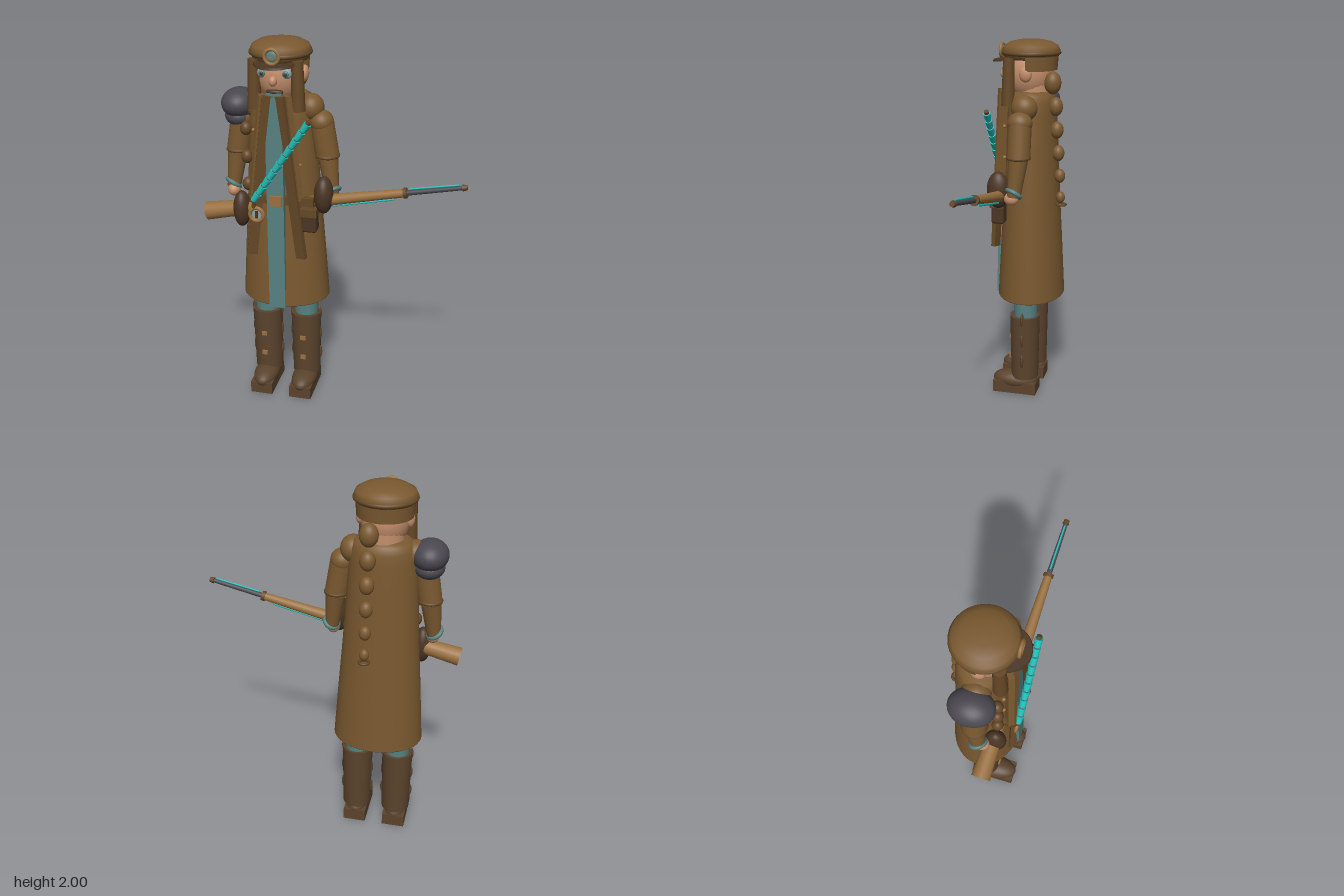
import * as THREE from 'three';
import { RoundedBoxGeometry } from 'three/addons/geometries/RoundedBoxGeometry.js';

const mat = (name, color) => Object.assign(new THREE.MeshStandardMaterial({ color }), { name });

export function createModel() {
  const M = {
    coat: mat('coat brown', 0x7a5930),
    trim: mat('dark brown trim', 0x644726),
    boot: mat('boot brown', 0x5a432c),
    leather: mat('dark leather', 0x4a3524),
    wood: mat('tan wood', 0x99703f),
    cloth: mat('muted teal cloth', 0x568080),
    glow: mat('bright turquoise', 0x22bdb8),
    steel: mat('dark steel', 0x4a484f),
    skin: mat('skin', 0xc48f6c),
    pale: mat('pale blue', 0x86a0a4),
  };
  const root = new THREE.Group();
  const figure = new THREE.Group();
  figure.name = 'figure';
  figure.position.x = -0.28;
  root.add(figure);

  const add = (name, geo, m, pos = [0, 0, 0], parent = figure) => {
    const mesh = new THREE.Mesh(geo, m);
    mesh.name = name;
    mesh.position.set(...pos);
    parent.add(mesh);
    return mesh;
  };
  const ball = (name, m, pos, r, parent) => {
    const mesh = add(name, new THREE.SphereGeometry(1, 28, 18), m, pos, parent);
    mesh.scale.set(...r);
    return mesh;
  };
  const box = (name, m, pos, size, parent) => add(name, new THREE.BoxGeometry(...size), m, pos, parent);
  const lathe = (name, m, points, pos, parent) =>
    add(name, new THREE.LatheGeometry(points.map(p => new THREE.Vector2(...p)), 40), m, pos, parent);
  // Tapered cylinder from point a to point b
  const rod = (name, m, a, b, ra, rb = ra, parent = figure, sides = 20) => {
    const A = new THREE.Vector3(...a), B = new THREE.Vector3(...b), d = B.clone().sub(A);
    const mesh = add(name, new THREE.CylinderGeometry(rb, ra, d.length(), sides), m,
      A.clone().add(B).multiplyScalar(0.5).toArray(), parent);
    mesh.quaternion.setFromUnitVectors(new THREE.Vector3(0, 1, 0), d.normalize());
    return mesh;
  };
  // Flat strip from a to b in the front plane
  const strip = (name, m, a, b, w, t) => {
    const d = [b[0] - a[0], b[1] - a[1], b[2] - a[2]];
    const pivot = new THREE.Group();
    pivot.name = name;
    pivot.position.set((a[0] + b[0]) / 2, (a[1] + b[1]) / 2, (a[2] + b[2]) / 2);
    pivot.quaternion.setFromUnitVectors(new THREE.Vector3(0, 1, 0), new THREE.Vector3(...d).normalize());
    figure.add(pivot);
    box(name, m, [0, 0, 0], [w, Math.hypot(...d), t], pivot);
  };

  // Long coat
  const coat = lathe('coat', M.coat, [[0, 0.58], [0.237, 0.58], [0.24, 0.585], [0.22, 0.88], [0.2, 1.15],
    [0.182, 1.45], [0.172, 1.62], [0.165, 1.68], [0.15, 1.715], [0.12, 1.732], [0, 1.735]], [0, 0, -0.008]);
  coat.scale.z = 0.77;
  strip('frontPanel', M.cloth, [0, 0.575, 0.165], [0, 1.735, 0.137], 0.09, 0.04);
  for (const s of [-1, 1]) {
    strip('lapel', M.trim, [s * 0.03, 1.74, 0.15], [s * 0.135, 0.88, 0.167], 0.055, 0.025);
    strip('collarBand', M.coat, [s * 0.055, 1.74, 0.125], [s * 0.115, 1.2, 0.145], 0.06, 0.03);
    for (const y of [1.38, 1.55]) ball('button', M.wood, [s * 0.12, y, 0.118], [0.01, 0.01, 0.01]);
  }
  // Belt with buckle and pouch
  box('belt', M.trim, [0.03, 1.195, 0.145], [0.34, 0.045, 0.04]);
  box('buckle', M.wood, [0.005, 1.195, 0.178], [0.065, 0.055, 0.012]);
  add('pouch', new RoundedBoxGeometry(0.08, 0.12, 0.07, 3, 0.012), M.leather, [0.175, 1.09, 0.135]);
  box('pouchFlap', M.trim, [0.175, 1.14, 0.14], [0.085, 0.04, 0.075]);
  for (const y of [1.55, 1.4, 1.25]) ball('sideCharge', M.trim, [-0.165, y, 0.1], [0.03, 0.036, 0.03]);

  // Head and face
  ball('head', M.skin, [0, 1.83, 0.012], [0.122, 0.155, 0.13]);
  rod('neck', M.skin, [0, 1.68, -0.01], [0, 1.8, -0.01], 0.1);
  ball('nose', M.skin, [0, 1.815, 0.147], [0.02, 0.026, 0.024]);
  ball('mouth', M.leather, [0, 1.757, 0.125], [0.045, 0.014, 0.02]);
  box('beard', M.cloth, [0, 1.742, 0.128], [0.08, 0.022, 0.03]);
  for (const s of [-1, 1]) {
    ball('eyeWhite', M.pale, [s * 0.06, 1.848, 0.118], [0.028, 0.026, 0.016]);
    ball('eyeIris', M.cloth, [s * 0.06, 1.848, 0.13], [0.017, 0.017, 0.01]);
    ball('eyePupil', M.leather, [s * 0.06, 1.848, 0.138], [0.009, 0.009, 0.006]);
    ball('brow', M.leather, [s * 0.055, 1.885, 0.118], [0.04, 0.012, 0.02]);
    ball('ear', M.skin, [s * 0.122, 1.828, 0.002], [0.022, 0.042, 0.034]);
    rod('earFlap', M.trim, [s * 0.11, 1.91, 0.095], [s * 0.113, 1.66, 0.1], 0.03, 0.036);
  }

  // Round cap with visor and badge
  lathe('capCrown', M.coat, [[0, 1.9], [0.14, 1.9], [0.15, 1.925], [0.155, 1.945], [0.145, 1.968],
    [0.11, 1.988], [0.06, 1.998], [0, 2.0]]);
  const rim = add('capRim', new THREE.TorusGeometry(0.148, 0.012, 10, 48), M.trim, [0, 1.932, 0]);
  rim.rotation.x = Math.PI / 2;
  const bandMat = M.coat.clone();
  bandMat.side = THREE.DoubleSide;
  add('capBackBand', new THREE.CylinderGeometry(0.147, 0.14, 0.085, 32, 1, true, Math.PI / 2, Math.PI),
    bandMat, [0, 1.885, 0]);
  const visor = add('visor', new THREE.CylinderGeometry(0.105, 0.11, 0.01, 32), M.leather, [0, 1.9, 0.1]);
  visor.rotation.x = 0.12;
  add('badgeRing', new THREE.TorusGeometry(0.036, 0.009, 10, 32), M.wood, [0, 1.938, 0.16]);
  ball('badgeCentre', M.cloth, [0, 1.938, 0.156], [0.03, 0.03, 0.01]);
  box('badgeBar', M.wood, [0, 1.932, 0.166], [0.036, 0.012, 0.008]);

  // Braid down the back, ending in a ring
  const braid = [[1.78, -0.13, 0.05], [1.655, -0.148, 0.042], [1.53, -0.156, 0.039],
    [1.405, -0.165, 0.036], [1.28, -0.175, 0.032], [1.16, -0.18, 0.027]];
  for (const [y, z, r] of braid) ball('braidBead', M.coat, [0.055, y, z], [r * 0.95, r * 1.2, r * 0.9]);
  const tie = add('braidTie', new THREE.TorusGeometry(0.024, 0.007, 8, 24), M.trim, [0.055, 1.12, -0.185]);
  tie.rotation.x = Math.PI / 2;

  // Arms, cuffs and gloves
  for (const s of [-1, 1]) {
    ball('shoulder', M.coat, [s * 0.155, 1.655, 0], [0.065, 0.07, 0.07]);
    ball('sleeveTop', M.coat, [s * 0.21, 1.585, 0.01], [0.062, 0.06, 0.066]);
    rod('upperSleeve', M.coat, [s * 0.21, 1.585, 0.01], [s * 0.24, 1.4, 0.01], 0.062, 0.062);
    const hem = add('sleeveHem', new THREE.TorusGeometry(0.057, 0.009, 8, 28), M.trim, [s * 0.239, 1.408, 0.01]);
    hem.rotation.x = Math.PI / 2;
    rod('forearm', M.coat, [s * 0.24, 1.43, 0.008], [s * 0.268, 1.2, 0.03], 0.055, 0.036);
    const cuff = add('cuff', new THREE.TorusGeometry(0.038, 0.012, 10, 28), M.cloth, [s * 0.27, 1.22, 0.03]);
    cuff.rotation.set(1.1, s * 0.5, 0);
    ball('wrist', M.skin, [s * 0.262, 1.19, 0.045], [0.034, 0.036, 0.04]);
  }
  ball('rightGlove', M.leather, [-0.205, 1.105, 0.1], [0.046, 0.1, 0.055]);
  ball('leftGlove', M.leather, [0.245, 1.23, 0.12], [0.05, 0.1, 0.062]);

  // Shoulder armour on the right side
  ball('pauldron', M.steel, [-0.228, 1.655, 0], [0.092, 0.078, 0.112]);
  ball('pauldronLower', M.steel, [-0.228, 1.59, 0], [0.076, 0.056, 0.09]);

  // Legs and boots
  for (const s of [-1, 1]) {
    const x = s * 0.112;
    rod('trouserLeg', M.cloth, [x, 0.4, 0], [x, 0.66, 0], 0.066, 0.066);
    rod('bootShaft', M.boot, [x, 0.095, 0.004], [x, 0.475, 0.004], 0.077, 0.084, figure, 32);
    box('bootSole', M.boot, [x, 0.034, 0.055], [0.124, 0.068, 0.25]);
    ball('bootToe', M.boot, [x, 0.07, 0.06], [0.07, 0.054, 0.13]);
    box('kneeTab', M.leather, [x, 0.565, 0.066], [0.05, 0.035, 0.012]);
    for (const y of [0.465, 0.34, 0.215]) {
      for (const t of [-1, 1]) ball('bootStud', M.boot, [x + t * 0.074, y, 0.004], [0.016, 0.042, 0.01]);
      if (y < 0.4) box('bootBuckle', M.wood, [x, y, 0.085], [0.03, 0.024, 0.016]);
    }
  }

  // Segmented baton across the chest with a ring charm
  const a = new THREE.Vector3(-0.11, 1.195, 0.19), b = new THREE.Vector3(0.187, 1.63, 0.197);
  const at = t => a.clone().lerp(b, t).toArray();
  rod('batonCore', M.trim, at(-0.02), at(1.02), 0.013);
  for (let i = 0; i < 10; i++) {
    rod('batonSegment', M.glow, at(i / 10), at((i + 0.9) / 10), 0.016, 0.02);
  }
  add('charmRing', new THREE.TorusGeometry(0.036, 0.01, 10, 32), M.wood, [-0.098, 1.115, 0.185]);
  const charm = rod('charmDisc', M.pale, [-0.098, 1.115, 0.17], [-0.098, 1.115, 0.185], 0.032);
  charm.name = 'charmDisc';
  box('charmMark', M.leather, [-0.098, 1.115, 0.187], [0.014, 0.04, 0.006]);
  rod('charmStem', M.trim, [-0.11, 1.15, 0.185], at(0), 0.01);

  // Rifle held across the waist
  const rifle = new THREE.Group();
  rifle.name = 'rifle';
  root.add(rifle);
  const p = (x, dy = 0) => [x, 1.203 + 0.202 * x + dy, 0.109 + 0.041 * x];
  rod('butt', M.wood, p(-0.685), p(-0.5), 0.049, 0.042, rifle);
  rod('grip', M.wood, p(-0.5), p(0), 0.034, 0.028, rifle);
  rod('foreStock', M.wood, p(0), p(0.39), 0.03, 0.021, rifle);
  rod('stockRing', M.trim, p(0.377), p(0.394), 0.027, 0.027, rifle);
  rod('barrel', M.steel, p(0.39), p(0.68), 0.014, 0.011, rifle);
  rod('muzzle', M.trim, p(0.668), p(0.69), 0.017, 0.013, rifle);
  rod('upperLight', M.glow, p(0.41, 0.019), p(0.65, 0.016), 0.005, 0.005, rifle, 8);
  rod('lowerLight', M.glow, p(0.01, -0.035), p(0.33, -0.029), 0.006, 0.006, rifle, 8);

  return root;
}
